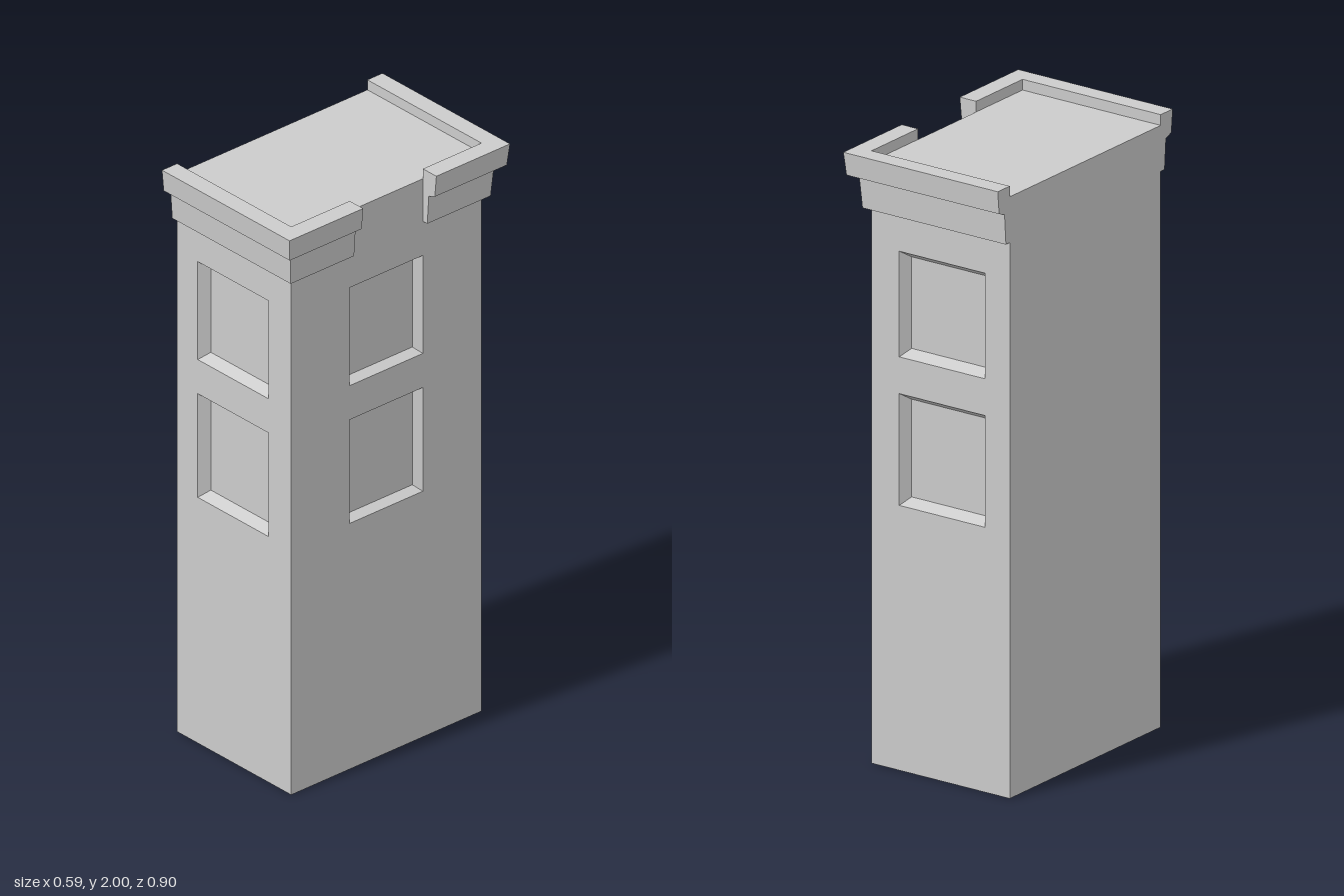
import * as THREE from 'three';

const X0 = -0.295, X1 = 0.23, Z = 0.39, ROOF = 1.965, DEPTH = 0.033;
const CX = (X0 + X1) / 2, W = X1 - X0;
const FLOORS = [[0.865, 1.23], [1.35, 1.695]]; // bottom and top of each window

const material = new THREE.MeshStandardMaterial({ color: 0xcccccc, flatShading: true });

function addMesh(parent, name, geometry) {
  const mesh = new THREE.Mesh(geometry, material);
  mesh.name = name;
  parent.add(mesh);
  return mesh;
}

function fromTriangles(points) {
  const geometry = new THREE.BufferGeometry().setFromPoints(points);
  geometry.computeVertexNormals();
  return geometry;
}

const quad = (a, b, c, d) => [a, b, c, a, c, d];

const rect = (l, r, b, t, z = 0) =>
  [[l, b], [r, b], [r, t], [l, t]].map(([x, y]) => new THREE.Vector3(x, y, z));

// Flat wall facing +z with recessed windows that have splayed reveals
function windowWall(name, width, left, right, inset) {
  const wall = new THREE.Group();
  wall.name = name;
  const shape = new THREE.Shape(rect(-width / 2, width / 2, 0, ROOF));
  for (const [b, t] of FLOORS) {
    const outer = rect(left, right, b, t);
    const inner = rect(left + inset, right - inset, b + inset, t - inset, -DEPTH);
    shape.holes.push(new THREE.Path(outer.slice().reverse()));
    const points = quad(...inner);
    for (let i = 0; i < 4; i++) {
      const j = (i + 1) % 4;
      points.push(...quad(outer[i], outer[j], inner[j], inner[i]));
    }
    addMesh(wall, 'windowRecess', fromTriangles(points));
  }
  addMesh(wall, 'wallFace', new THREE.ShapeGeometry(shape));
  return wall;
}

// Two-step cornice profile: outward offset, height
const PROFILE = [
  [0, 1.815], [0.02, 1.815], [0.027, 1.915], [0.055, 1.925], [0.062, 2], [0, 2],
].map(([d, y]) => new THREE.Vector2(d, y));

// Sweep the profile along stations [x, z, outward x, outward z] and cap the ends
function cornice(stations) {
  const rings = stations.map(([x, z, ox, oz]) =>
    PROFILE.map((p) => new THREE.Vector3(x + ox * p.x, p.y, z + oz * p.x)));
  const points = [];
  for (let i = 0; i < rings.length - 1; i++) {
    for (let j = 0; j < PROFILE.length; j++) {
      const k = (j + 1) % PROFILE.length;
      points.push(...quad(rings[i][j], rings[i + 1][j], rings[i + 1][k], rings[i][k]));
    }
  }
  const first = rings[0], last = rings[rings.length - 1];
  for (const [a, b, c] of THREE.ShapeUtils.triangulateShape(PROFILE, [])) {
    points.push(first[a], first[b], first[c], last[a], last[c], last[b]);
  }
  return fromTriangles(points);
}

export function createModel() {
  const model = new THREE.Group();
  model.name = 'tower';

  // Walls with windows
  const l = -0.2 - CX, r = 0.125 - CX;
  const front = windowWall('frontWall', W, l, r, 0.023);
  front.position.set(CX, 0, Z);
  const back = windowWall('backWall', W, -r, -l, 0.023);
  back.position.set(CX, 0, -Z);
  back.rotation.y = Math.PI;
  const side = windowWall('sideWall', 2 * Z, -0.15, 0.15, 0.014);
  side.position.x = X1;
  side.rotation.y = Math.PI / 2;
  model.add(front, back, side);

  // Plain party wall, roof and underside
  const party = addMesh(model, 'plainWall', new THREE.PlaneGeometry(2 * Z, ROOF));
  party.position.set(X0, ROOF / 2, 0);
  party.rotation.y = -Math.PI / 2;
  const roof = addMesh(model, 'roof', new THREE.PlaneGeometry(W, 2 * Z));
  roof.position.set(CX, ROOF, 0);
  roof.rotation.x = -Math.PI / 2;
  const base = addMesh(model, 'underside', new THREE.PlaneGeometry(W, 2 * Z));
  base.position.set(CX, 0, 0);
  base.rotation.x = Math.PI / 2;

  // Cornices wrapping the two outer corners, open in the middle of the side
  const path = [[X0, Z, 0, 1], [X1, Z, 1, 1], [X1, 0.15, 1, 0]];
  const mirrored = path.map(([x, z, ox, oz]) => [x, -z, ox, -oz]).reverse();
  addMesh(model, 'frontCornice', cornice(path));
  addMesh(model, 'backCornice', cornice(mirrored));

  return model;
}
